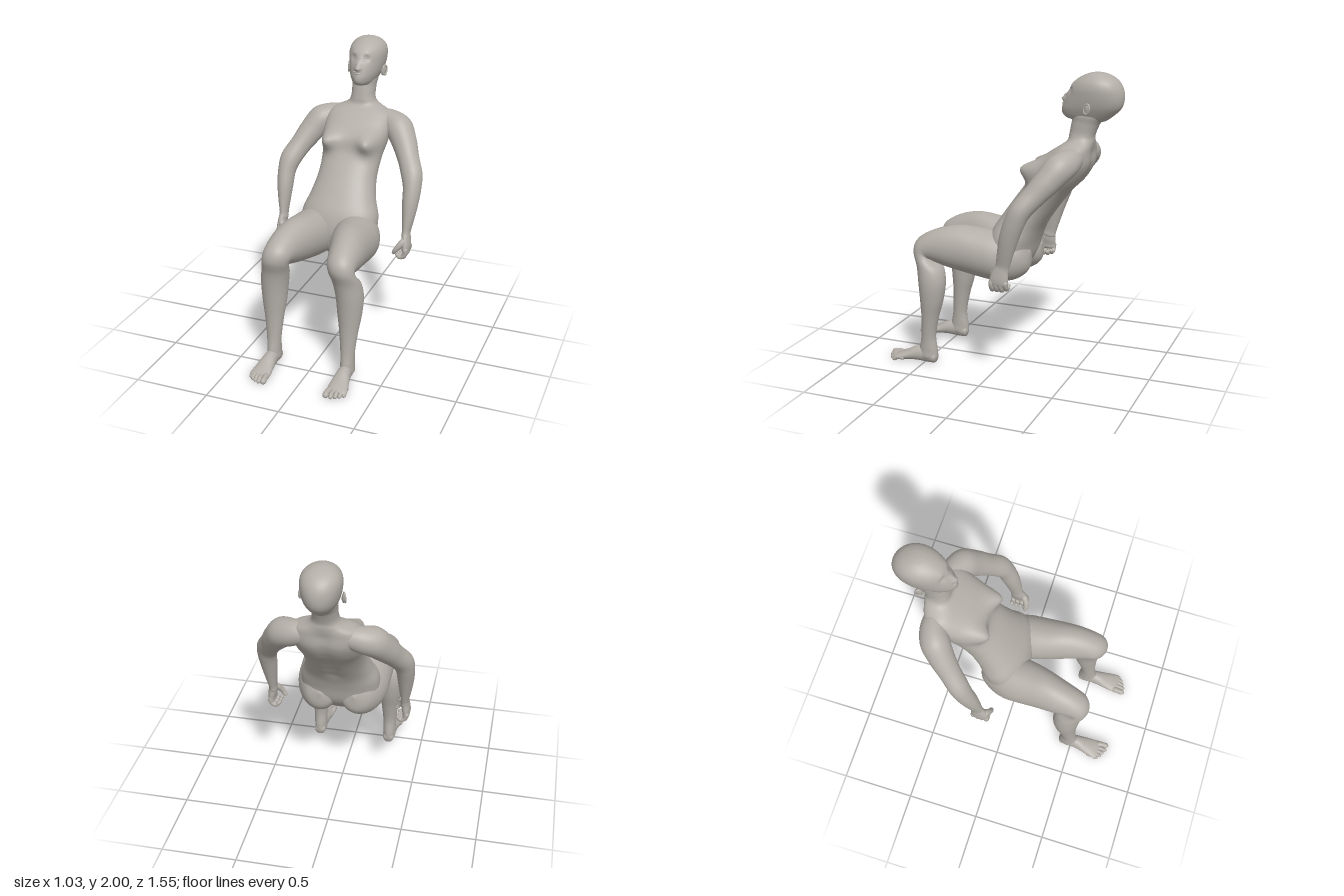
import * as THREE from 'three';

const V = (x, y, z) => new THREE.Vector3(x, y, z);
const skin = new THREE.MeshStandardMaterial({ color: 0xb3aea7 });
skin.name = 'warm grey skin';

// Cross-section given by its front and back points in the side plane, half width and centre x
const slab = ([yf, zf, yb, zb, w, x = 0], s = 1) => ({
  c: V(x * s, (yf + yb) / 2, (zf + zb) / 2),
  a: V(w, 0, 0),
  b: V(0, (yf - yb) / 2, (zf - zb) / 2),
});

// Cross-sections square to a path of [x, y, z, side radius, hint radius]
function along(path, s, hint) {
  const pts = path.map(p => V(p[0] * s, p[1], p[2]));
  return path.map((p, i) => {
    const t = pts[Math.min(i + 1, pts.length - 1)].clone().sub(pts[Math.max(i - 1, 0)]).normalize();
    const b = hint.clone().addScaledVector(t, -hint.dot(t)).normalize();
    const a = t.clone().cross(b);
    return { c: pts[i], a: a.multiplyScalar(p[3]), b: b.multiplyScalar(p[4] ?? p[3]) };
  });
}

// Closed smooth skin through the sections; egg narrows the front, box below 1 squares the section;
// bumps are [x, y, z, radius, dx, dy, dz], mirrored if x > 0
function loft(name, rings, { segs = 32, steps = 6, egg = 0, box = 1, bumps = [], cap = 0.6 } = {}) {
  const end = (r, n) => ({
    c: r.c.clone().addScaledVector(r.c.clone().sub(n.c).normalize(), cap * Math.min(r.a.length(), r.b.length())),
    a: V(0, 0, 0), b: V(0, 0, 0),
  });
  const L = rings.length;
  const all = [end(rings[0], rings[1]), ...rings, end(rings[L - 1], rings[L - 2])];
  const [C, A, B] = ['c', 'a', 'b'].map(k => new THREE.CatmullRomCurve3(all.map(r => r[k]), false, 'catmullrom', 0.5));
  const rows = (all.length - 1) * steps;
  const push = bumps.flatMap(q => q[0] > 0 ? [q, [-q[0], q[1], q[2], q[3], -q[4], q[5], q[6]]] : [q]);
  const soft = v => Math.sign(v) * Math.abs(v) ** box;
  const pos = [], idx = [];
  for (let i = 0; i <= rows; i++) {
    const c = C.getPoint(i / rows), a = A.getPoint(i / rows), b = B.getPoint(i / rows);
    for (let j = 0; j < segs; j++) {
      const t = j / segs * Math.PI * 2;
      const sn = soft(Math.sin(t)), cs = soft(Math.cos(t));
      const p = c.clone().addScaledVector(a, sn * (1 - egg * cs)).addScaledVector(b, cs);
      const d = V(0, 0, 0);
      for (const q of push) {
        const k = Math.exp(-p.distanceToSquared(V(q[0], q[1], q[2])) / (q[3] * q[3]));
        d.addScaledVector(V(q[4], q[5], q[6]), k);
      }
      pos.push(...p.add(d).toArray());
    }
  }
  const m = L >> 1;
  const out = rings[m].b.clone().cross(rings[m].a).dot(rings[m].c.clone().sub(rings[m - 1].c)) > 0;
  for (let i = 0; i < rows; i++) for (let j = 0; j < segs; j++) {
    const p = i * segs + j, q = i * segs + (j + 1) % segs, r = p + segs, u = q + segs;
    idx.push(...(out ? [p, q, r, q, u, r] : [p, r, q, q, r, u]));
  }
  const g = new THREE.BufferGeometry();
  g.setAttribute('position', new THREE.Float32BufferAttribute(pos, 3));
  g.setIndex(idx);
  g.computeVertexNormals();
  const mesh = new THREE.Mesh(g, skin);
  mesh.name = name;
  return mesh;
}

function blob(name, p, size, rot = [0, 0, 0]) {
  const m = new THREE.Mesh(new THREE.SphereGeometry(1, 24, 16), skin);
  m.name = name;
  m.position.set(...p);
  m.scale.set(...size);
  m.rotation.set(...rot);
  return m;
}

function makeTorso() {
  const spine = [[1.47, -0.58], [1.40, -0.57], [1.33, -0.535], [1.26, -0.475], [1.19, -0.42], [1.12, -0.365], [1.05, -0.31]];
  return loft('torso', [
    [0.67, 0.05, 0.64, -0.05, 0.07], [0.74, 0.085, 0.67, -0.11, 0.16], [0.84, 0.10, 0.76, -0.185, 0.25],
    [0.95, 0.07, 0.88, -0.222, 0.262], [1.06, 0, 0.98, -0.265, 0.225], [1.18, -0.085, 1.09, -0.34, 0.200],
    [1.30, -0.17, 1.21, -0.43, 0.203], [1.40, -0.205, 1.31, -0.525, 0.222], [1.47, -0.285, 1.41, -0.58, 0.23],
    [1.53, -0.375, 1.50, -0.585, 0.208], [1.565, -0.42, 1.56, -0.59, 0.112], [1.61, -0.43, 1.60, -0.592, 0.082],
    [1.69, -0.445, 1.67, -0.62, 0.079], [1.75, -0.46, 1.74, -0.66, 0.078],
  ].map(r => slab(r)), {
    segs: 80, steps: 7, box: 0.87, bumps: [
      [0.145, 1.37, -0.22, 0.07, 0.005, 0.01, 0.078],    // breasts
      [0.15, 1.375, -0.14, 0.015, 0, 0, 0.007],
      ...spine.map(([y, z]) => [0, y, z, 0.05, 0, 0.004, 0.010]),
    ],
  });
}

function makeHead() {
  const head = new THREE.Group();
  head.name = 'head';
  head.add(loft('skull', [
    [1.70, -0.43, 1.69, -0.64, 0.052], [1.72, -0.388, 1.71, -0.685, 0.074], [1.76, -0.377, 1.76, -0.745, 0.097],
    [1.80, -0.387, 1.80, -0.77, 0.111], [1.85, -0.407, 1.85, -0.777, 0.121], [1.90, -0.428, 1.90, -0.768, 0.124],
    [1.94, -0.458, 1.94, -0.745, 0.114], [1.97, -0.50, 1.97, -0.71, 0.090], [1.99, -0.545, 1.99, -0.665, 0.055],
    [1.998, -0.58, 1.998, -0.63, 0.022],
  ].map(r => slab(r)), {
    segs: 96, steps: 9, egg: 0.09, cap: 0.08, bumps: [
      [0, 1.828, -0.398, 0.019, 0, 0, 0.022],            // nose
      [0, 1.852, -0.407, 0.017, 0, 0, 0.013],
      [0.014, 1.824, -0.40, 0.012, 0, 0, 0.008],
      [0.046, 1.886, -0.437, 0.024, 0, 0, -0.015],       // eye sockets
      [0.045, 1.917, -0.455, 0.024, 0, 0, 0.006],        // brows
      [0, 1.797, -0.386, 0.026, 0, 0, 0.005],            // mouth
      [0, 1.745, -0.378, 0.028, 0, 0, 0.005],            // chin
    ],
  }));
  head.add(blob('upperLip', [0, 1.803, -0.387], [0.034, 0.005, 0.008]));
  head.add(blob('lowerLip', [0, 1.793, -0.385], [0.029, 0.006, 0.008]));
  for (const s of [-1, 1]) {
    head.add(blob('eye', [s * 0.047, 1.886, -0.457], [0.019, 0.008, 0.008], [0, s * 0.35, 0]));
    head.add(blob('ear', [s * 0.122, 1.778, -0.572], [0.010, 0.034, 0.022], [-0.25, s * -0.4, s * -0.15]));
    const rim = new THREE.Mesh(new THREE.TorusGeometry(0.026, 0.006, 10, 32), skin);
    rim.name = 'earRim';
    rim.position.set(s * 0.129, 1.782, -0.574);
    rim.scale.set(0.85, 1.2, 1);
    rim.rotation.set(-0.2, s * (Math.PI / 2 - 0.4), 0);
    head.add(rim);
  }
  return head;
}

function makeArm(s) {
  const arm = new THREE.Group();
  arm.name = s > 0 ? 'leftArm' : 'rightArm';
  const front = V(0, 0, 1);
  arm.add(loft('upperArmAndForearm', along([
    [0.10, 1.475, -0.50, 0.055], [0.20, 1.455, -0.485, 0.083], [0.28, 1.425, -0.448, 0.095], [0.338, 1.35, -0.392, 0.085],
    [0.39, 1.265, -0.325, 0.073], [0.437, 1.18, -0.258, 0.072, 0.068], [0.453, 1.10, -0.222, 0.061, 0.066],
    [0.453, 1.0, -0.188, 0.053, 0.062], [0.45, 0.90, -0.163, 0.040, 0.053], [0.446, 0.82, -0.145, 0.028, 0.046],
    [0.446, 0.78, -0.135, 0.028, 0.045],
  ], s, front), { segs: 40 }));
  arm.add(loft('palm', along([
    [0.446, 0.82, -0.143, 0.022, 0.036], [0.45, 0.765, -0.13, 0.029, 0.055],
    [0.456, 0.72, -0.122, 0.027, 0.062], [0.455, 0.69, -0.12, 0.022, 0.058],
  ], s, front)));
  // curled fingers, index to little
  for (let i = 0; i < 4; i++) {
    const z = -0.075 - i * 0.031, up = i === 3 ? 0.012 : 0;
    arm.add(loft('finger', along([
      [0.460, 0.715, z, 0.017], [0.462, 0.685 + up, z, 0.017], [0.448, 0.658 + up, z, 0.016],
      [0.420, 0.652 + up, z, 0.014], [0.403, 0.672 + up, z, 0.012],
    ], s, front), { segs: 14, steps: 4 }));
  }
  arm.add(loft('thumb', along([
    [0.445, 0.765, -0.09, 0.022], [0.420, 0.735, -0.068, 0.020], [0.398, 0.705, -0.06, 0.016],
    [0.383, 0.68, -0.065, 0.012],
  ], s, front), { segs: 14, steps: 4 }));
  return arm;
}

function makeLeg(s) {
  const leg = new THREE.Group();
  leg.name = s > 0 ? 'leftLeg' : 'rightLeg';
  leg.add(loft('buttockThighAndShin', [
    [0.92, -0.155, 0.71, -0.20, 0.092, 0.12], [0.95, -0.06, 0.645, -0.135, 0.134, 0.138],
    [0.955, 0.03, 0.62, -0.04, 0.150, 0.154], [0.965, 0.13, 0.625, 0.05, 0.149, 0.162],
    [0.975, 0.25, 0.655, 0.20, 0.133, 0.18], [0.96, 0.36, 0.685, 0.33, 0.116, 0.20], [0.92, 0.47, 0.715, 0.42, 0.10, 0.213],
    [0.865, 0.55, 0.73, 0.44, 0.092, 0.22], [0.79, 0.575, 0.715, 0.41, 0.089, 0.23], [0.69, 0.545, 0.67, 0.362, 0.092, 0.247],
    [0.58, 0.53, 0.58, 0.345, 0.090, 0.26], [0.46, 0.52, 0.46, 0.362, 0.080, 0.262], [0.34, 0.515, 0.34, 0.395, 0.063, 0.261],
    [0.20, 0.52, 0.20, 0.42, 0.048, 0.26], [0.11, 0.535, 0.09, 0.408, 0.045, 0.26], [0.05, 0.54, 0.035, 0.415, 0.042, 0.26],
  ].map(r => slab(r, s)), { segs: 48, cap: 0.35 }));
  leg.add(loft('foot', [
    [0.075, 0.414, 0.025, 0.414, 0.028, 0.258], [0.095, 0.44, 0.006, 0.43, 0.040, 0.259], [0.115, 0.51, 0.006, 0.50, 0.043, 0.26],
    [0.105, 0.57, 0.010, 0.56, 0.050, 0.262], [0.075, 0.63, 0.008, 0.63, 0.061, 0.265], [0.052, 0.685, 0.006, 0.685, 0.068, 0.268],
    [0.038, 0.71, 0.010, 0.71, 0.060, 0.266],
  ].map(r => slab(r, s)), { cap: 0.3 }));
  // toes, big to little
  const toes = [[0.217, 0.765, 0.020], [0.250, 0.762, 0.0145], [0.277, 0.750, 0.014], [0.302, 0.735, 0.0135], [0.323, 0.715, 0.013]];
  toes.forEach(([x, z, r]) => leg.add(loft('toe', along([
    [x * 0.9 + 0.027, 0.028, z - 0.075, r], [x, 0.029, z - 0.035, r * 0.9], [x, r + 0.003, z - 0.015, r], [x, r, z, r * 0.75],
  ], s, V(0, 1, 0)), { segs: 16, steps: 4 })));
  return leg;
}

export function createModel() {
  const figure = new THREE.Group();
  figure.name = 'seatedFigure';
  figure.add(makeTorso(), makeHead());
  for (const s of [-1, 1]) figure.add(makeArm(s), makeLeg(s));
  return figure;
}
